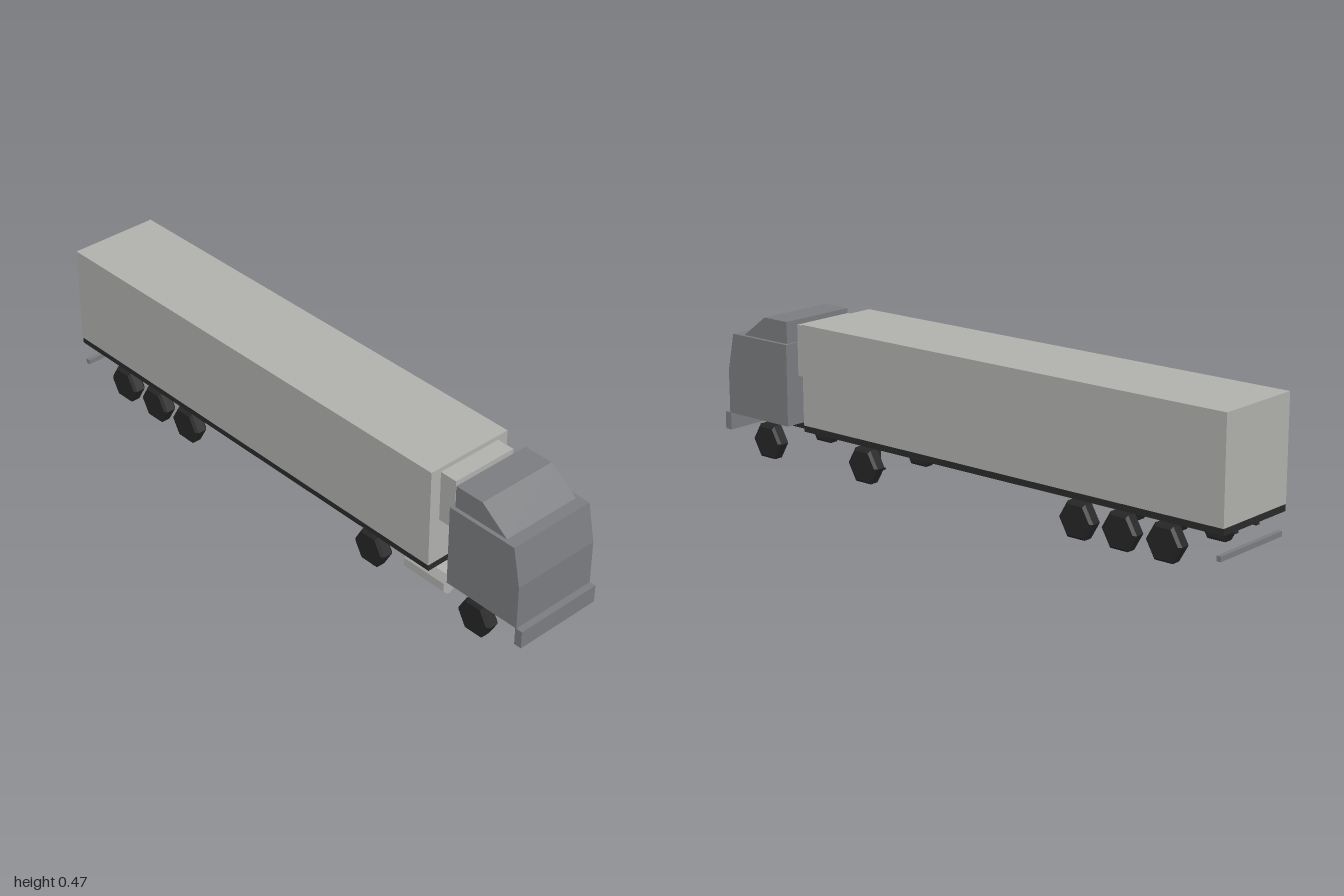
import * as THREE from 'three';

const material = (name, color) => {
  const m = new THREE.MeshStandardMaterial({ color, flatShading: true });
  m.name = name;
  return m;
};

export function createModel() {
  const truck = new THREE.Group();
  truck.name = 'articulatedTruck';
  const light = material('light grey', 0xb0b0ad);
  const grey = material('cab grey', 0x7a7c7f);
  const dark = material('chassis black', 0x2a2a2a);
  const rubber = material('tyre black', 0x262626);

  const add = (name, geometry, mat) => {
    const mesh = new THREE.Mesh(geometry, mat);
    mesh.name = name;
    truck.add(mesh);
    return mesh;
  };
  // Box given by its limits on each axis
  const box = (name, mat, [x0, x1], [y0, y1], [z0, z1]) => {
    const mesh = add(name, new THREE.BoxGeometry(x1 - x0, y1 - y0, z1 - z0), mat);
    mesh.position.set((x0 + x1) / 2, (y0 + y1) / 2, (z0 + z1) / 2);
    return mesh;
  };
  // Side profile (x, y) extruded across the full width
  const prism = (name, mat, points, halfWidth) => {
    const shape = new THREE.Shape(points.map(([x, y]) => new THREE.Vector2(x, y)));
    const g = new THREE.ExtrudeGeometry(shape, { depth: 2 * halfWidth, bevelEnabled: false });
    return add(name, g.translate(0, 0, -halfWidth), mat);
  };

  // Trailer
  box('trailerBody', light, [-1, 0.63], [0.143, 0.473], [-0.153, 0.153]);
  box('trailerFloor', dark, [-1, 0.63], [0.122, 0.143], [-0.151, 0.151]);
  box('coolingUnit', light, [0.63, 0.69], [0.29, 0.458], [-0.115, 0.115]);
  box('rearBumper', grey, [-0.992, -0.977], [0.045, 0.061], [-0.15, 0.15]);

  // Cab
  prism('cab', grey, [[0.705, 0.125], [0.978, 0.125], [0.978, 0.27], [0.952, 0.395], [0.705, 0.395]], 0.152);
  prism('roofDeflector', grey, [[0.714, 0.395], [0.912, 0.395], [0.815, 0.467], [0.714, 0.467]], 0.139);
  box('frontBumper', grey, [0.974, 1], [0.067, 0.125], [-0.152, 0.152]);

  // Frame rails and landing legs
  for (const s of [-1, 1]) {
    box('trailerRail', dark, [-0.975, 0.63], [0.1, 0.122], [s * 0.052 - 0.008, s * 0.052 + 0.008]);
    box('tractorRail', dark, [0.25, 0.955], [0.095, 0.124], [s * 0.05 - 0.007, s * 0.05 + 0.007]);
    box('landingLeg', dark, [0.355, 0.371], [0.04, 0.122], [s * 0.093 - 0.008, s * 0.093 + 0.008]);
    box('landingFoot', dark, [0.345, 0.381], [0.034, 0.04], [s * 0.093 - 0.018, s * 0.093 + 0.018]);
  }

  // Fuel tank on the left side, profile in z and y
  const tank = new THREE.Shape([[0.07, 0.117], [0.07, 0.066], [0.104, 0.043], [0.115, 0.045],
    [0.132, 0.062], [0.132, 0.09], [0.118, 0.117]].map(([z, y]) => new THREE.Vector2(-z, y)));
  const tankGeometry = new THREE.ExtrudeGeometry(tank, { depth: 0.163, bevelEnabled: false });
  add('fuelTank', tankGeometry.rotateY(Math.PI / 2).translate(0.512, 0, 0), light);

  // Six-sided wheels with chamfered rims
  const rim = [[0, -0.023], [0.054, -0.023], [0.0635, -0.015], [0.0635, 0.015], [0.054, 0.023], [0, 0.023]];
  const wheel = new THREE.LatheGeometry(rim.map(([r, y]) => new THREE.Vector2(r, y)), 6)
    .rotateX(Math.PI / 2).rotateZ(Math.PI / 6);
  for (const x of [-0.793, -0.635, -0.478, 0.378, 0.81]) {
    for (const z of [-0.128, 0.128]) add('wheel', wheel, rubber).position.set(x, 0.055, z);
  }
  return truck;
}
